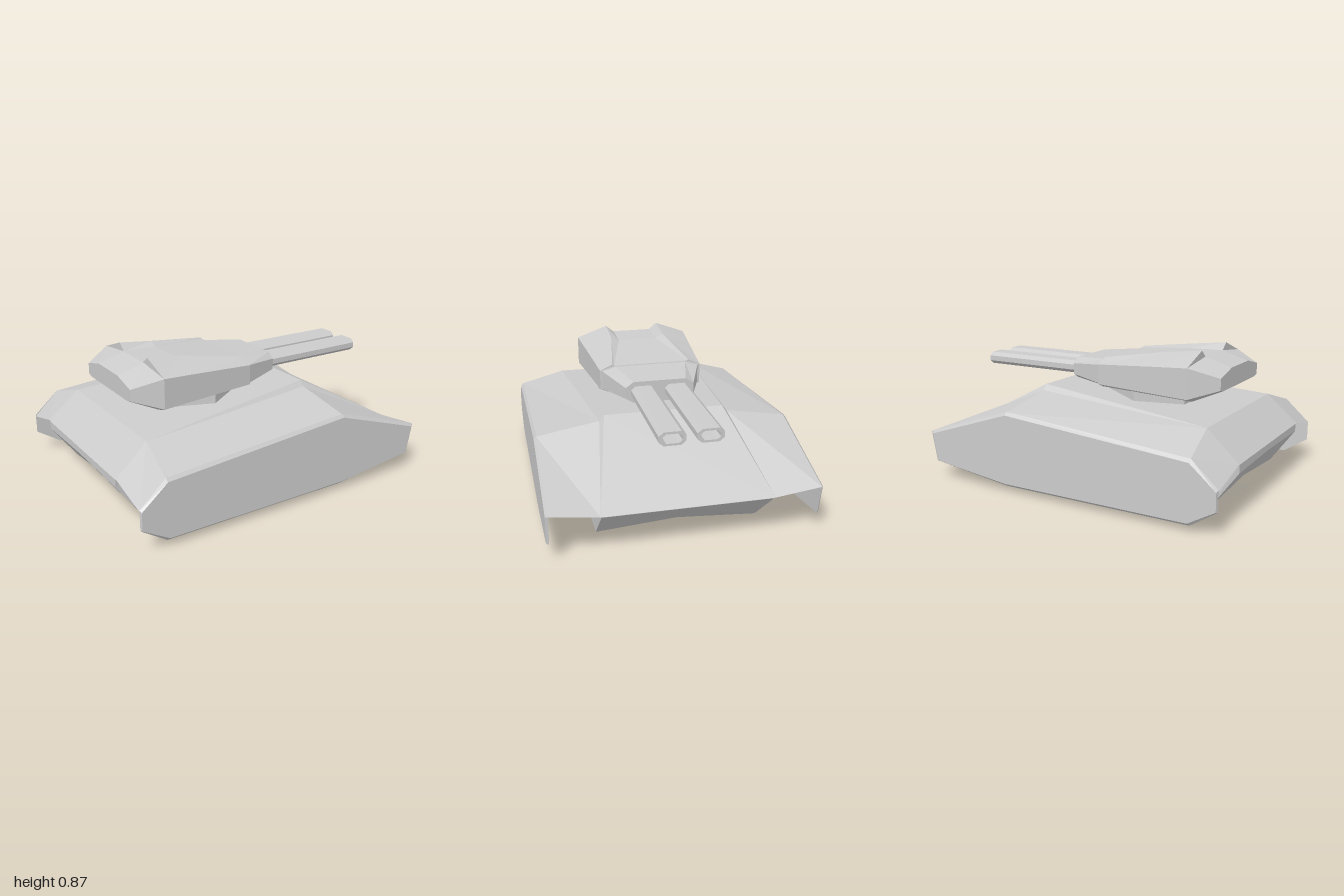
import * as THREE from 'three';

const grey = new THREE.MeshStandardMaterial({ color: 0xcccccc, flatShading: true });
const sheetGrey = new THREE.MeshStandardMaterial({ color: 0xcccccc, flatShading: true, side: THREE.DoubleSide });

// Skins a row of cross-sections ([x, y, z] points); closed lofts also get end caps.
function loft(sections, closed = true) {
  const pos = [];
  const [va, vb, vc] = [new THREE.Vector3(), new THREE.Vector3(), new THREE.Vector3()];
  const tri = (a, b, c) => {
    va.fromArray(a); vb.fromArray(b).sub(va); vc.fromArray(c).sub(va);
    if (vb.cross(vc).length() > 1e-7) pos.push(...a, ...b, ...c);
  };
  const n = sections[0].length;
  for (let i = 0; i + 1 < sections.length; i++) {
    for (let j = 0; j < (closed ? n : n - 1); j++) {
      const k = (j + 1) % n;
      const a = sections[i][j], b = sections[i][k], c = sections[i + 1][k], d = sections[i + 1][j];
      tri(a, d, c);
      tri(a, c, b);
    }
  }
  if (closed) {
    const first = sections[0], last = sections[sections.length - 1];
    for (let j = 1; j + 1 < n; j++) {
      tri(first[0], first[j], first[j + 1]);
      tri(last[0], last[j + 1], last[j]);
    }
  }
  const geo = new THREE.BufferGeometry();
  geo.setAttribute('position', new THREE.Float32BufferAttribute(pos, 3));
  geo.computeVertexNormals();
  return geo;
}

const flip = ([x, y, z]) => [x, y, -z];
const mirrorLoop = (loop) => loop.map(flip).reverse();
const symmetric = (half) => [...half, ...mirrorLoop(half)];

// Octagon with cut corners
function octagon(w, h, cx, cy, PathType) {
  const p = [[-w, -h + cy], [-w + cx, -h], [w - cx, -h], [w, -h + cy], [w, h - cy], [w - cx, h], [-w + cx, h], [-w, h - cy]];
  return new PathType(p.map(([x, y]) => new THREE.Vector2(x, y)));
}

export function createModel() {
  const model = new THREE.Group();
  const add = (name, geo, parent = model, mat = grey) => {
    const mesh = new THREE.Mesh(geo, mat);
    mesh.name = name;
    parent.add(mesh);
    return mesh;
  };

  // Upper armour: open sheet from fender edge over the ridges, rear to front
  const deck = [
    [[-1, 0.255, 0.78], [-1, 0.325, 0.5], [-1, 0.325, 0.5]],
    [[-0.84, 0.41, 0.78], [-0.8, 0.5, 0.49], [-0.8, 0.5, 0.49]],
    [[0.38, 0.5, 0.78], [0.38, 0.565, 0.4], [0.38, 0.6, 0.37]],
    [[1, 0.3, 0.78], [1, 0.265, 0.5], [1, 0.265, 0.5]],
  ];
  add('upperArmour', loft(deck.map(symmetric), false), model, sheetGrey);

  // Lower hull with a shallow notch along the belly: x, belly edge, belly centre, top
  const hull = [
    [-1, 0.27, 0.28, 0.32],
    [-0.84, 0.05, 0.085, 0.44],
    [0.38, 0, 0.035, 0.535],
    [0.72, 0.01, 0.045, 0.375],
    [1, 0.262, 0.262, 0.264],
  ].map(([x, edge, mid, top]) => [
    [x, mid, 0], [x, edge, 0.49], [x, top, 0.495], [x, top, -0.495], [x, edge, -0.49],
  ]);
  add('lowerHull', loft(hull));

  // Side skirts: thin plates with a chamfered outer rim
  const inner = [[-1, 0.14], [-1, 0.265], [-0.84, 0.41], [0.38, 0.505], [1, 0.3], [0.965, 0.11], [0.4, 0.035], [-0.84, 0.035]];
  const outer = [[-0.995, 0.145], [-0.995, 0.255], [-0.835, 0.39], [0.38, 0.485], [0.975, 0.29], [0.945, 0.112], [0.4, 0.05], [-0.83, 0.05]];
  const skirt = [inner.map(([x, y]) => [x, y, 0.78]), outer.map(([x, y]) => [x, y, 0.796])];
  add('leftSkirt', loft(skirt));
  add('rightSkirt', loft(skirt.map(mirrorLoop)));

  // Six-sided turret ring
  const neck = add('turretRing', new THREE.CylinderGeometry(0.31, 0.31, 0.14, 6));
  neck.position.set(-0.23, 0.55, 0);

  // Turret body, rear to front; the doubled section makes the small step before the mantlet
  const turret = new THREE.Group();
  turret.name = 'turret';
  model.add(turret);
  const body = [
    [-0.79, [0.25, 0.66], [0.29, 0.67], [0.29, 0.74], [0.13, 0.78]],
    [-0.62, [0.31, 0.59], [0.385, 0.615], [0.385, 0.8], [0.13, 0.83]],
    [-0.4, [0.3, 0.597], [0.365, 0.62], [0.365, 0.785], [0.13, 0.825]],
    [0.01, [0.28, 0.608], [0.33, 0.63], [0.33, 0.755], [0.24, 0.782]],
    [0.012, [0.27, 0.612], [0.315, 0.632], [0.315, 0.75], [0.23, 0.775]],
    [0.27, [0.165, 0.62], [0.215, 0.65], [0.215, 0.72], [0.165, 0.755]],
  ].map(([x, ...half]) => symmetric(half.map(([z, y]) => [x, y, z])));
  add('turretBody', loft(body), turret);

  // Raised cheeks on the turret roof, tapering forward
  const cheek = [
    [[-0.62, 0.8, 0.385], [-0.62, 0.873, 0.183], [-0.62, 0.83, 0.13]],
    [[-0.4, 0.785, 0.365], [-0.4, 0.848, 0.183], [-0.4, 0.825, 0.13]],
    [[0.01, 0.755, 0.33], [0.01, 0.79, 0.25], [0.01, 0.782, 0.24]],
  ];
  add('leftCheek', loft(cheek), turret);
  add('rightCheek', loft(cheek.map(mirrorLoop)), turret);

  // Twin hollow barrels
  const tube = octagon(0.076, 0.04, 0.027, 0.023, THREE.Shape);
  tube.holes.push(octagon(0.055, 0.027, 0.02, 0.015, THREE.Path));
  const barrelGeo = new THREE.ExtrudeGeometry(tube, { depth: 0.73, bevelEnabled: false });
  barrelGeo.rotateY(Math.PI / 2);
  for (const [name, z] of [['leftBarrel', 0.105], ['rightBarrel', -0.108]]) {
    add(name, barrelGeo, turret).position.set(0.265, 0.686, z);
  }

  return model;
}
